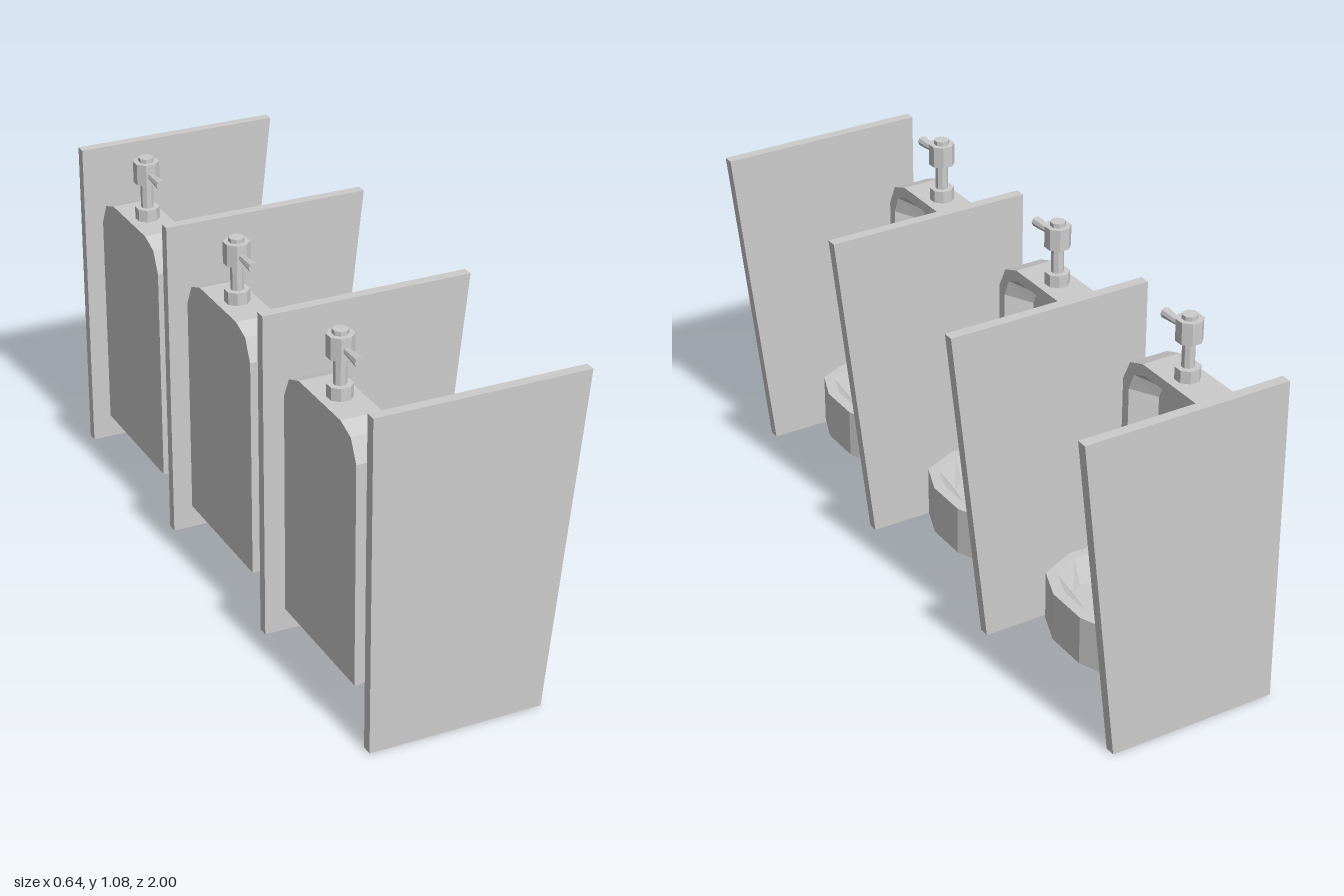
import * as THREE from 'three';

const material = new THREE.MeshStandardMaterial({ color: 0xcccccc, flatShading: true });

function mesh(geometry, name, x = 0, y = 0, z = 0) {
  const m = new THREE.Mesh(geometry, material);
  m.name = name;
  m.position.set(x, y, z);
  return m;
}

// L-shaped loop: an upright arch [y, z] at x = archX, a corner, then a bowl curve [x, z] at y = bowlY
function makeLoop(arch, archX, width, bowl, bowlY) {
  const half = [
    ...arch.map(([y, z]) => [archX, y, z]),
    [archX, bowlY, width],
    ...bowl.map(([x, z]) => [x, bowlY, z]),
  ];
  return [...half, ...half.slice().reverse().map(([x, y, z]) => [x, y, -z])];
}

// Basin shell: back and underside, outer rim, inner rim, recess
function basinGeometry() {
  const outerArch = [[0.882, 0.125], [0.86, 0.185], [0.795, 0.217]];
  const outerBowl = [[0, 0.217], [0.108, 0.168], [0.147, 0.067]];
  const innerArch = [[0.85, 0.115], [0.83, 0.165], [0.775, 0.188]];
  const innerBowl = [[0, 0.187], [0.085, 0.145], [0.115, 0.056]];
  const recessArch = [[0.79, 0.1], [0.78, 0.137], [0.74, 0.155]];
  const recessBowl = [[0, 0.155], [0.04, 0.128], [0.056, 0.05]];
  const loops = [
    makeLoop(outerArch, -0.292, 0.217, outerBowl, 0.12),
    makeLoop(outerArch, -0.17, 0.217, outerBowl, 0.272),
    makeLoop(innerArch, -0.17, 0.188, innerBowl, 0.272),
    makeLoop(recessArch, -0.25, 0.155, recessBowl, 0.2),
  ];
  const n = loops[0].length;
  const index = [];
  for (let k = 0; k < loops.length - 1; k++) {
    for (let i = 0; i < n; i++) {
      const j = (i + 1) % n;
      const a = k * n + i, b = k * n + j;
      index.push(a, b, b + n, a, b + n, a + n);
    }
  }
  // Flat caps: upright wall and floor, for the outside and the recess
  const wall = [3, 10, 11, 12, 13, 0, 1, 2];
  const floor = [3, 4, 5, 6, 7, 8, 9, 10];
  for (const ring of [wall, floor]) {
    for (let i = 1; i < ring.length - 1; i++) {
      const [a, b, c] = [ring[0], ring[i], ring[i + 1]];
      index.push(a, c, b);
      const s = 3 * n;
      index.push(s + a, s + b, s + c);
    }
  }
  const g = new THREE.BufferGeometry();
  g.setAttribute('position', new THREE.Float32BufferAttribute(loops.flat(2), 3));
  g.setIndex(index);
  const flat = g.toNonIndexed();
  flat.computeVertexNormals();
  return flat;
}

// Flush valve with a lever pointing to +z
function makeValve() {
  const valve = new THREE.Group();
  valve.name = 'flushValve';
  const parts = [
    ['valveCollar', 0.037, 0.875, 0.92],
    ['valveStem', 0.019, 0.92, 1.0],
    ['valveBody', 0.039, 1.0, 1.066],
    ['valveCap', 0.023, 1.066, 1.079],
  ];
  for (const [name, r, y0, y1] of parts) {
    const g = new THREE.CylinderGeometry(r, r, y1 - y0, 8);
    g.rotateY(Math.PI / 8);
    valve.add(mesh(g, name, 0, (y0 + y1) / 2, 0));
  }
  const lever = new THREE.CylinderGeometry(0.016, 0.009, 0.085, 8);
  lever.rotateX(Math.PI / 2);
  valve.add(mesh(lever, 'valveLever', 0, 1.03, 0.072));
  valve.position.x = -0.231;
  return valve;
}

export function createModel() {
  const model = new THREE.Group();
  model.name = 'urinalRow';

  // Four tapered divider panels
  const outline = new THREE.Shape([
    new THREE.Vector2(-0.32, 0), new THREE.Vector2(0.205, 0),
    new THREE.Vector2(0.318, 1.006), new THREE.Vector2(-0.32, 1.006),
  ]);
  const panel = new THREE.ExtrudeGeometry(outline, { depth: 0.032, bevelEnabled: false });
  panel.translate(0, 0, -0.016);
  for (const z of [-0.984, -0.328, 0.328, 0.984]) {
    model.add(mesh(panel, 'dividerPanel', 0, 0, z));
  }

  // Three urinals between the panels
  const basin = basinGeometry();
  for (const z of [-0.67, -0.017, 0.636]) {
    const urinal = new THREE.Group();
    urinal.name = 'urinal';
    urinal.add(mesh(basin, 'basin'), makeValve());
    urinal.position.z = z;
    model.add(urinal);
  }
  return model;
}
